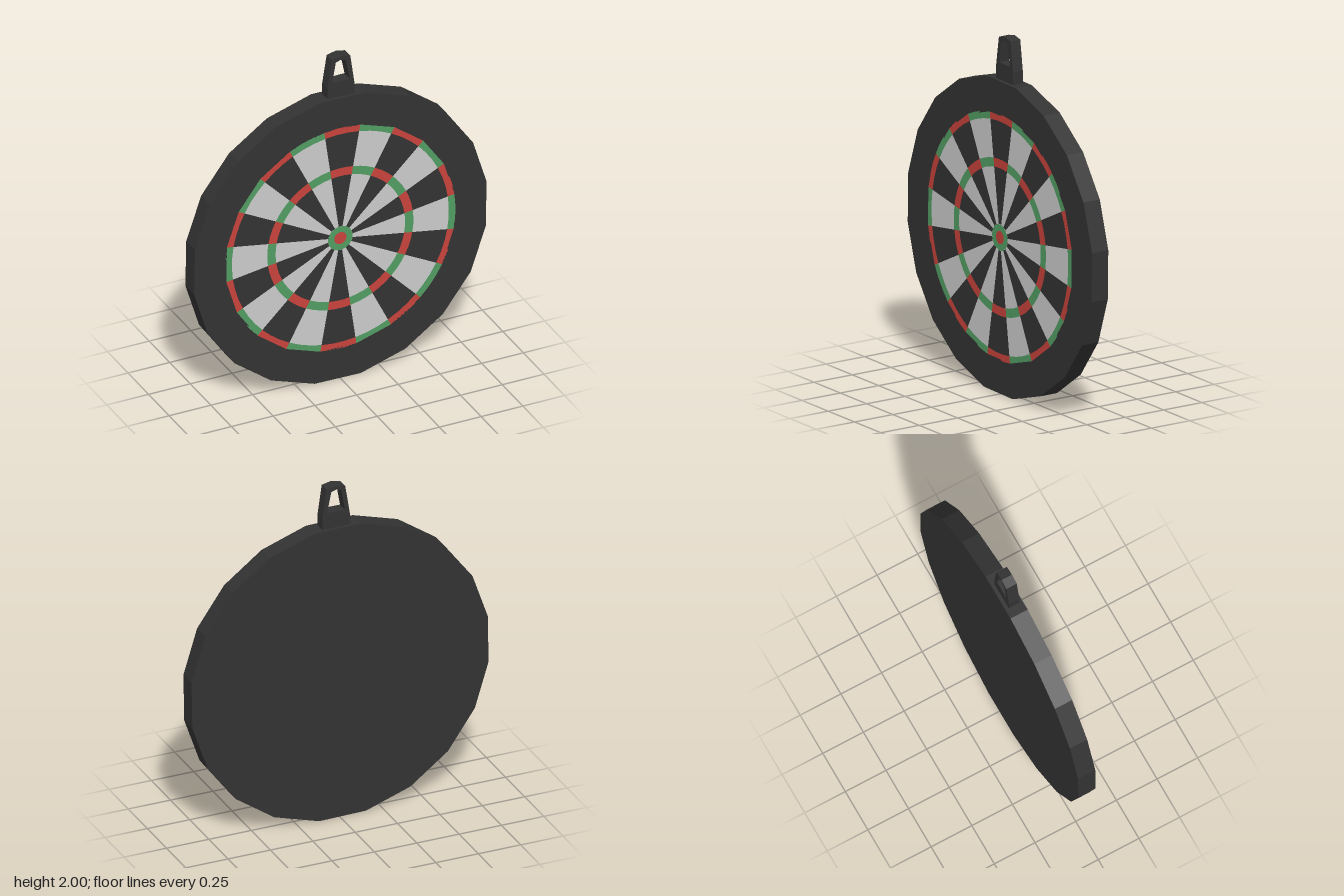
import * as THREE from 'three';

const SIDES = 20;
const STEP = (Math.PI * 2) / SIDES;
const START = THREE.MathUtils.degToRad(8);
const RADIUS = 0.885;
const HALF = 0.053;
const FIELD = 0.69; // outer radius of the scoring field

const paint = (color) => new THREE.MeshStandardMaterial({ color, flatShading: true });

export function createModel() {
  const model = new THREE.Group();
  const dark = paint(0x333333);
  const white = paint(0xcccccc);
  const red = paint(0xc8433b);
  const green = paint(0x529d63);

  const board = new THREE.Group();
  board.name = 'board';
  board.position.y = 0.876;
  model.add(board);

  const add = (parent, name, geometry, material) => {
    const mesh = new THREE.Mesh(geometry, material);
    mesh.name = name;
    parent.add(mesh);
    return mesh;
  };

  // Body: edge band, back disc and the front border around the field
  const band = new THREE.CylinderGeometry(RADIUS, RADIUS, HALF * 2, SIDES, 1, true, START);
  add(board, 'edge', band.rotateX(Math.PI / 2), dark);
  const back = new THREE.CircleGeometry(RADIUS, SIDES, -START);
  add(board, 'back', back.rotateY(Math.PI).translate(0, 0, -HALF), dark);
  const border = new THREE.RingGeometry(FIELD, RADIUS, SIDES, 1, START);
  add(board, 'border', border.translate(0, 0, HALF), dark);

  // Scoring field: [name, inner radius, outer radius, even colour, odd colour]
  const rings = [
    ['innerSector', 0.074, 0.388, dark, white],
    ['tripleRing', 0.388, 0.438, red, green],
    ['outerSector', 0.438, 0.65, dark, white],
    ['doubleRing', 0.65, FIELD, red, green],
  ];
  for (const [name, inner, outer, even, odd] of rings) {
    const ring = new THREE.Group();
    ring.name = name + 's';
    board.add(ring);
    for (let i = 0; i < SIDES; i++) {
      const cell = new THREE.RingGeometry(inner, outer, 1, 1, START + i * STEP, STEP);
      add(ring, name, cell.translate(0, 0, HALF), i % 2 ? odd : even);
    }
  }

  // Bullseye
  const outerBull = new THREE.RingGeometry(0.037, 0.074, SIDES, 1, START);
  add(board, 'outerBull', outerBull.translate(0, 0, HALF), green);
  const bull = new THREE.CircleGeometry(0.037, SIDES, START);
  add(board, 'bullseye', bull.translate(0, 0, HALF), red);

  // Hanging loop
  const points = (list) => list.map(([x, y]) => new THREE.Vector2(x, y));
  const loop = new THREE.Shape(points([
    [-0.067, 1.735], [0.094, 1.735], [0.094, 1.82], [0.07, 1.988],
    [0.014, 2], [-0.04, 1.988], [-0.067, 1.82],
  ]));
  loop.holes.push(new THREE.Path(points([
    [-0.038, 1.845], [-0.017, 1.967], [0.013, 1.977], [0.042, 1.967], [0.067, 1.845],
  ])));
  const hanger = new THREE.ExtrudeGeometry(loop, { depth: 0.064, bevelEnabled: false });
  add(model, 'hangingLoop', hanger.translate(0, 0, -0.032), dark);

  return model;
}
